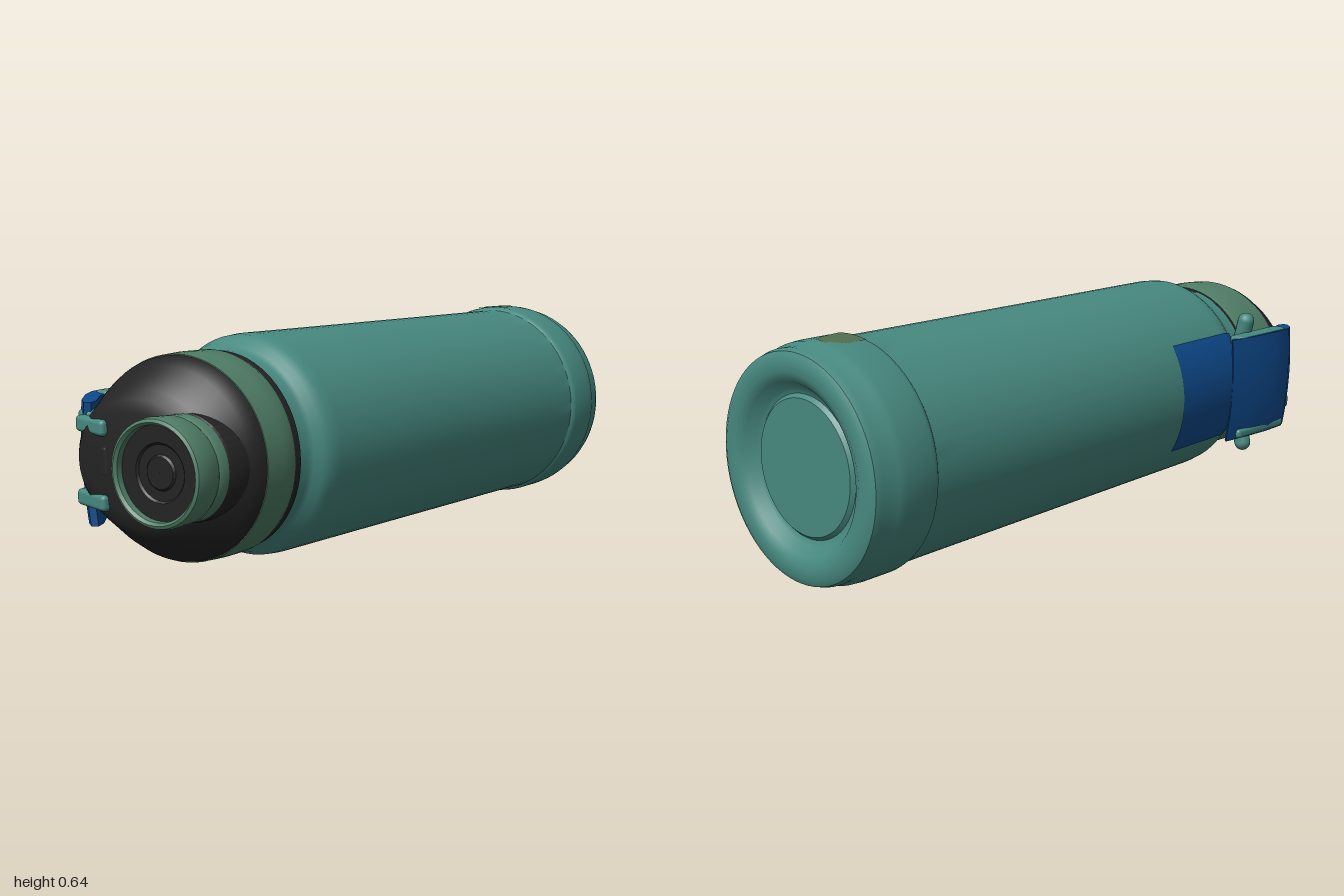
import * as THREE from 'three';
import { toCreasedNormals } from 'three/addons/utils/BufferGeometryUtils.js';
import { RoundedBoxGeometry } from 'three/addons/geometries/RoundedBoxGeometry.js';

const mat = (name, color, side = THREE.FrontSide) => {
  const m = new THREE.MeshStandardMaterial({ color, side });
  m.name = name;
  return m;
};

// move every vertex by a rule
function warp(geo, rule) {
  const p = geo.attributes.position, v = new THREE.Vector3();
  for (let i = 0; i < p.count; i++) {
    v.fromBufferAttribute(p, i);
    rule(v);
    p.setXYZ(i, v.x, v.y, v.z);
  }
  geo.computeVertexNormals();
  return geo;
}

// revolve [radius, z] pairs around the z axis
function turned(pairs, segments = 72, start = 0, length = Math.PI * 2) {
  const g = new THREE.LatheGeometry(pairs.map(([r, z]) => new THREE.Vector2(r, z)), segments, start, length);
  return g.rotateX(Math.PI / 2);
}

// the bottle axis leans very slightly
const lean = v => { v.x += 0.002 + 0.0125 * v.z; v.y += 0.33 + 0.01 * v.z; };
const crease = g => toCreasedNormals(g, 0.6);

export function createModel() {
  const group = new THREE.Group();
  const teal = mat('teal', 0x478980), green = mat('sage green', 0x4f7d66);
  const black = mat('black', 0x232323);
  const blue = mat('blue', 0x0e4b8e, THREE.DoubleSide);
  const olive = mat('olive', 0x50704f, THREE.DoubleSide);
  const add = (name, geo, material, parent = group) => {
    const m = new THREE.Mesh(geo, material);
    m.name = name;
    parent.add(m);
    return m;
  };

  // flask body with recessed base, foot band, shoulder and neck
  add('body', crease(warp(turned([
    [0, -0.965], [0.18, -0.965], [0.19, -0.955], [0.205, -0.96], [0.225, -0.985], [0.25, -0.997],
    [0.285, -0.997], [0.302, -0.988], [0.308, -0.97], [0.308, -0.945], [0.317, -0.925],
    [0.319, -0.9], [0.319, -0.81], [0.316, -0.797], [0.309, -0.79], [0.308, -0.7],
    [0.306, 0], [0.305, 0.48], [0.302, 0.515], [0.29, 0.54], [0.272, 0.556], [0.264, 0.57],
    [0.264, 0.625], [0.2, 0.63]]), lean)), teal);

  // painted patch on the foot band
  add('bandPatch', warp(turned([[0.3205, -0.91], [0.3215, -0.87], [0.3215, -0.805]], 10, Math.PI - 0.12, 0.34), v => {
    v.x = -0.015 + (v.x + 0.015) * (v.z < -0.9 ? 0.45 : v.z < -0.85 ? 0.85 : 1);
    lean(v);
  }), olive);

  // blue pad wrapped on the right flank
  add('sidePad', warp(turned([[0.309, 0.23], [0.309, 0.5], [0.296, 0.54]], 16, Math.PI * 1.5 - 0.56, 1.12), lean), blue);

  // gasket and collar, whose front edge slopes
  const lid = v => {
    if (v.z > 0.7) v.z -= 0.12 * v.x;
    v.x += 0.018; v.y += 0.335;
  };
  add('gasket', crease(warp(turned([[0.25, 0.612], [0.267, 0.615], [0.267, 0.645], [0.25, 0.65]]), lid)), black);
  add('collar', crease(warp(turned([[0.25, 0.635], [0.268, 0.638], [0.273, 0.65], [0.274, 0.72], [0.271, 0.78], [0.25, 0.785]]), lid)), green);

  // domed lid: narrows faster in height than in width, drifting to the right side
  add('lidDome', crease(warp(turned([
    [0.255, 0.76], [0.27, 0.775], [0.266, 0.795], [0.25, 0.82], [0.225, 0.85],
    [0.2, 0.88], [0.175, 0.9], [0.14, 0.908], [0.001, 0.908]]), v => {
    const t = Math.max(0, (v.z - 0.79) / 0.12);
    v.x = v.x * (1 + 0.12 * t) - 0.025 * t;
    v.y *= 1 - 0.06 * t;
    lid(v);
  })), black);

  // drinking spout with a rim and a sunken plug
  const spout = new THREE.Group();
  spout.name = 'spout';
  spout.position.set(0.128, 0.337, 0);
  group.add(spout);
  const tilt = v => { if (v.z > 0.85) v.z -= 0.1 * v.x; };
  add('spoutBase', crease(warp(turned([[0.14, 0.78], [0.139, 0.87], [0.128, 0.885]], 48), tilt)), black, spout);
  add('spoutRing', crease(warp(turned([
    [0.13, 0.872], [0.136, 0.876], [0.136, 0.9], [0.132, 0.907], [0.137, 0.917], [0.139, 0.965],
    [0.135, 0.981], [0.127, 0.985], [0.12, 0.978], [0.118, 0.94]], 48), tilt)), green, spout);
  add('spoutPlug', crease(warp(turned([
    [0.12, 0.962], [0.075, 0.962], [0.07, 0.957], [0.045, 0.957], [0.04, 0.962], [0.001, 0.962]], 48), tilt)), black, spout);

  // hinge block in the middle of the lid
  add('hingeBlock', new RoundedBoxGeometry(0.1, 0.09, 0.06, 3, 0.015).translate(-0.145, 0.335, 0.895), black);

  // blue latch plate hooked over the lid edge
  const outline = [[-0.303, 0.48], [-0.318, 0.58], [-0.324, 0.68], [-0.318, 0.77], [-0.295, 0.815],
    [-0.25, 0.87], [-0.225, 0.885], [-0.213, 0.87], [-0.225, 0.84], [-0.265, 0.79], [-0.285, 0.73], [-0.285, 0.5]];
  const latch = new THREE.ExtrudeGeometry(new THREE.Shape(outline.map(p => new THREE.Vector2(...p))),
    { depth: 0.325, steps: 8, bevelEnabled: false });
  latch.rotateX(Math.PI / 2).translate(0, 0.48, 0);
  add('latchPlate', crease(warp(latch, v => {
    const k = (v.y - 0.3175) / 0.1625;
    v.x += 0.012 * k * k - 0.008 * k;
    v.y += -0.12 * (v.x + 0.27);
  })), blue);

  // mirrored latch ears and arms
  for (const s of [1, -1]) {
    const y = 0.325;
    const ear = new THREE.CapsuleGeometry(0.026, 0.06, 6, 14);
    const earMesh = add('latchEar', ear, teal);
    earMesh.position.set(-0.25, y + s * 0.17, 0.61);
    earMesh.rotation.z = s * 0.25;
    add('latchSide', new RoundedBoxGeometry(0.05, 0.03, 0.25, 3, 0.012)
      .translate(-0.282, y + s * 0.15, 0.645), teal);
    const arm = add('latchArm', new RoundedBoxGeometry(0.14, 0.043, 0.035, 3, 0.012), teal);
    arm.position.set(-0.165, y - 0.001 + s * 0.097, 0.905);
    arm.rotation.y = -0.25;
    add('armRoot', new RoundedBoxGeometry(0.05, 0.05, 0.14, 3, 0.015)
      .translate(-0.232, y + s * 0.105, 0.81), teal);
  }
  return group;
}
